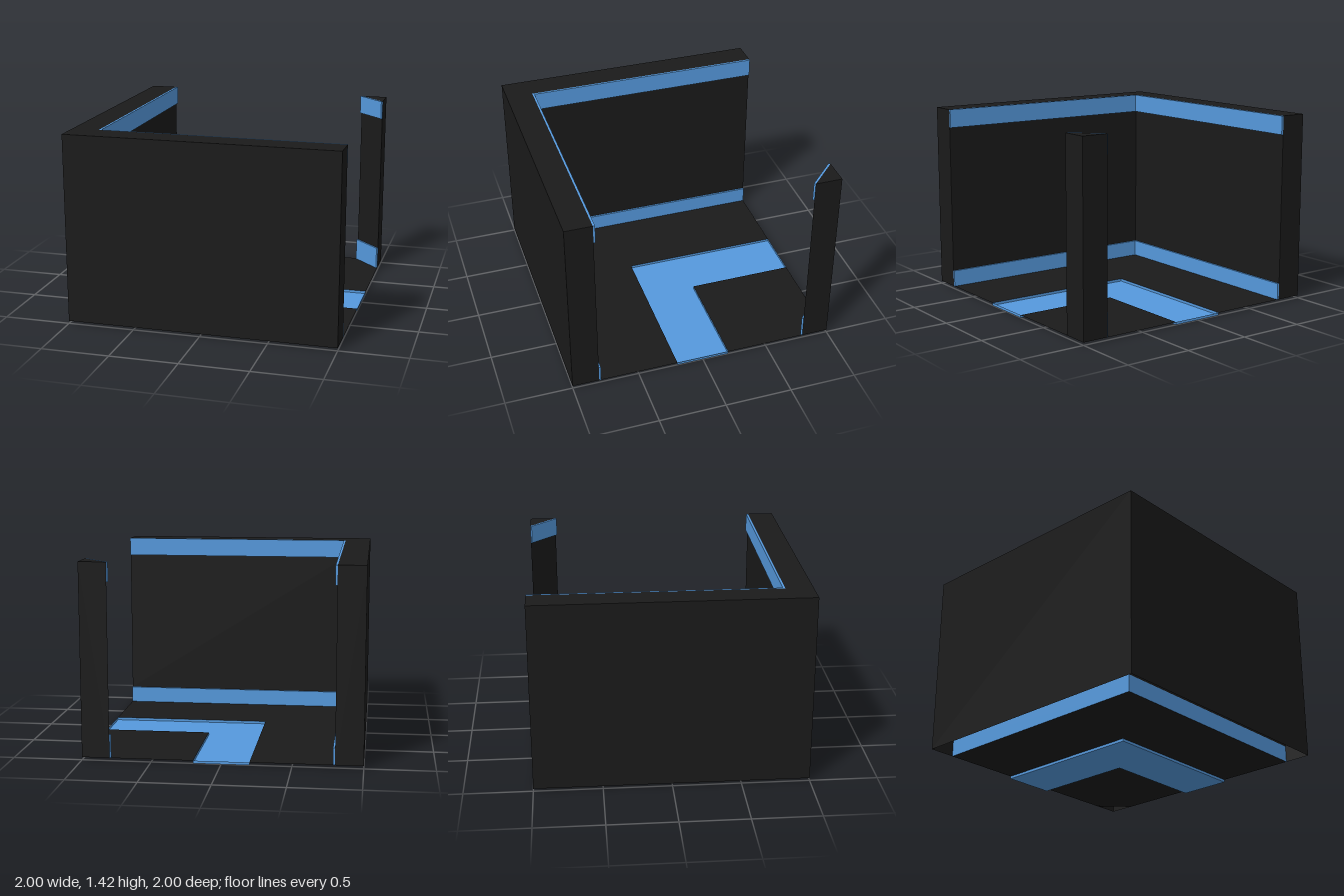
import * as THREE from 'three';
import { mergeGeometries } from 'three/addons/utils/BufferGeometryUtils.js';

const FLOOR = 0.02, TOP = 1.42, T = 0.015;
const dark = new THREE.MeshStandardMaterial({ color: 0x1a1a1a, side: THREE.DoubleSide });
const blue = new THREE.MeshStandardMaterial({ color: 0x5599dd, side: THREE.DoubleSide });

// Vertical strip following plan points [x, z], one flat quad per segment
function strip(points, y0, y1) {
  const quads = [];
  for (let i = 0; i < points.length - 1; i++) {
    const [ax, az] = points[i], [bx, bz] = points[i + 1];
    const g = new THREE.PlaneGeometry(Math.hypot(bx - ax, bz - az), y1 - y0);
    g.rotateY(-Math.atan2(bz - az, bx - ax));
    g.translate((ax + bx) / 2, (y0 + y1) / 2, (az + bz) / 2);
    quads.push(g);
  }
  return mergeGeometries(quads);
}

// Horizontal sheet facing up, with an optional hole
function sheet(points, y, hole) {
  const plan = (list) => list.map(([x, z]) => new THREE.Vector2(x, -z));
  const shape = new THREE.Shape(plan(points));
  if (hole) shape.holes.push(new THREE.Path(plan(hole)));
  return new THREE.ShapeGeometry(shape).rotateX(-Math.PI / 2).translate(0, y, 0);
}

const closed = (points) => [...points, points[0]];

export function createModel() {
  const model = new THREE.Group();
  const add = (name, material, ...parts) => {
    const mesh = new THREE.Mesh(mergeGeometries(parts), material);
    mesh.name = name;
    model.add(mesh);
  };

  // Floor made of panels around the L-shaped channel
  add('floor', dark,
    sheet([[-0.8, -1], [-0.2, -1], [-0.2, 0.2], [1, 0.2], [1, 0.8], [-0.8, 0.8]], FLOOR),
    sheet([[0.2, -1], [0.8, -1], [1, -0.8], [1, -0.2], [0.2, -0.2]], FLOOR));

  // Sunken path with a low rim
  const path = [[-0.2, -1], [0.2, -1], [0.2, -0.2], [1, -0.2], [1, 0.2], [-0.2, 0.2]];
  add('floorPath', blue, sheet(path, 0), strip(closed(path), 0, FLOOR));

  // Hollow walls and corner post: outer shell, top, and inner face between the trims
  const wallOuter = [[-0.8, -1], [-1, -1], [-1, 1], [1, 1], [1, 0.8]];
  const wallInner = [[1, 0.8], [-0.8, 0.8], [-0.8, -1]];
  const postOuter = [[0.8, -1], [1, -1], [1, -0.8]];
  const postInner = [[1, -0.8], [0.8, -1]];
  const wallTrim = [...wallInner, [-0.8 + T, -1], [-0.8 + T, 0.8 - T], [1, 0.8 - T]];
  const d = T * Math.SQRT1_2;
  const postTrim = [...postInner, [0.8 - d, -1 + d], [1 - d, -0.8 + d]];

  const sections = [
    ['wall', wallOuter, wallInner, wallTrim, 0.145],
    ['cornerPost', postOuter, postInner, postTrim, 0.19],
  ];
  for (const [name, outer, inner, trim, low] of sections) {
    const high = 1.28;
    add(name, dark,
      strip(outer, FLOOR, TOP),
      strip(inner, low, high),
      sheet([...outer, ...inner.slice(1, -1)], TOP));
    add(name + 'LowerTrim', blue, strip(closed(trim), FLOOR, low), sheet(trim, low));
    add(name + 'UpperTrim', blue,
      strip(closed(trim), high, TOP), sheet(trim, high), sheet(trim, TOP));
  }
  return model;
}
